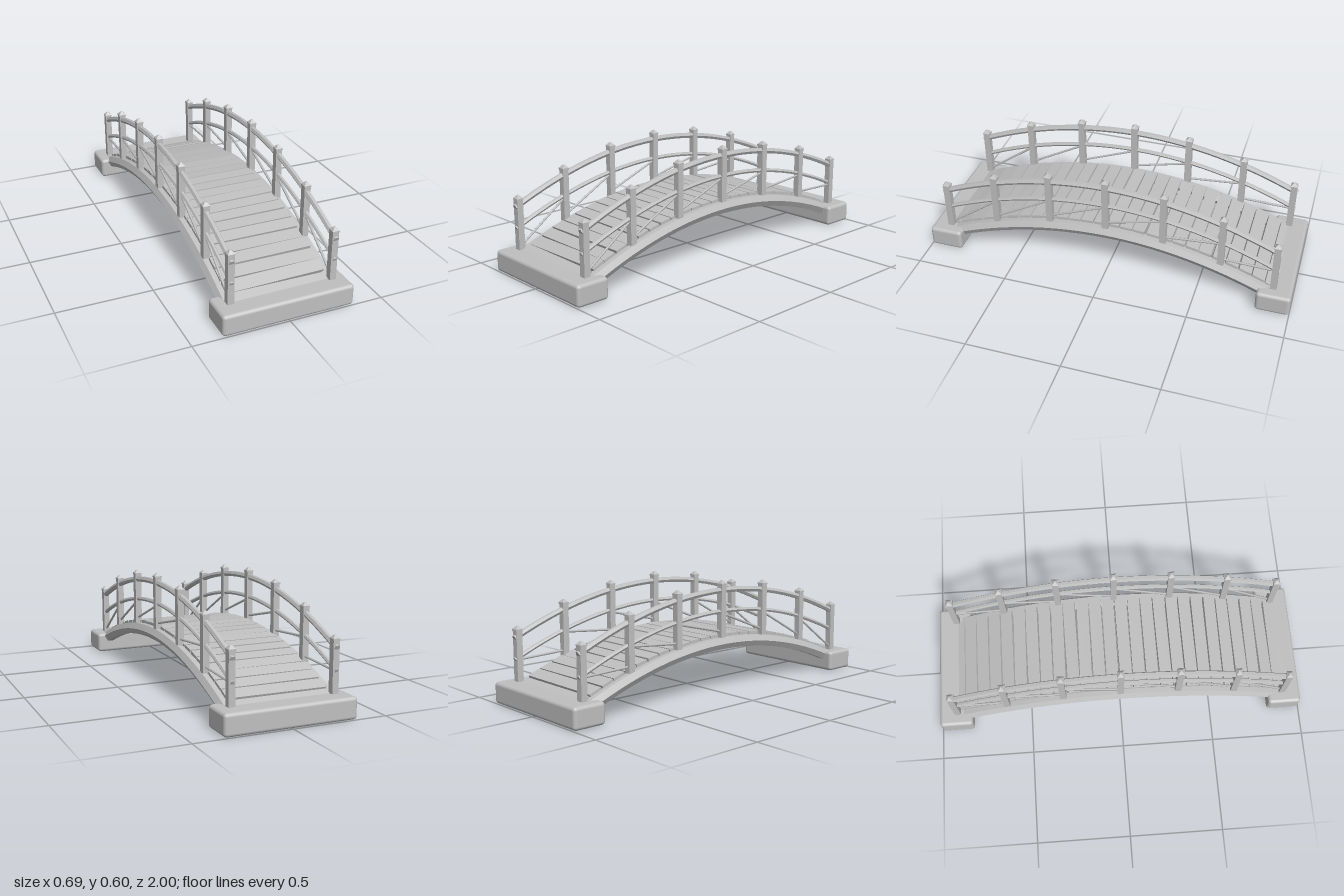
import * as THREE from 'three';
import { RoundedBoxGeometry } from 'three/addons/geometries/RoundedBoxGeometry.js';

const BEND = 0.25; // the whole bridge follows y = top - BEND * z * z
const SIDE = 0.27; // x of beams, posts and rails
const arch = (top, z) => top - BEND * z * z;

// Hexagonal bar swept along the arch
function archedBar(top, end, radius) {
  const hex = new THREE.Shape();
  for (let i = 0; i < 6; i++) {
    const a = (i * Math.PI) / 3;
    hex[i ? 'lineTo' : 'moveTo'](radius * Math.cos(a), radius * Math.sin(a));
  }
  hex.closePath();
  const y = arch(top, end);
  const path = new THREE.QuadraticBezierCurve3(
    new THREE.Vector3(0, y, end),
    new THREE.Vector3(0, top + BEND * end * end, 0),
    new THREE.Vector3(0, y, -end)
  );
  return new THREE.ExtrudeGeometry(hex, { steps: 28, extrudePath: path, bevelEnabled: false });
}

export function createModel() {
  const model = new THREE.Group();
  model.name = 'archedFootbridge';
  const grey = new THREE.MeshStandardMaterial({ color: 0xbfbfbf });
  grey.name = 'plainGrey';

  let seed = 7;
  const jitter = (amount) => {
    seed = (seed * 16807) % 2147483647;
    return (seed / 2147483647 - 0.5) * 2 * amount;
  };
  const add = (parent, name, geometry, x, y, z) => {
    const mesh = new THREE.Mesh(geometry, grey);
    mesh.name = name;
    mesh.position.set(x, y, z);
    parent.add(mesh);
    return mesh;
  };

  // Footing blocks at both ends
  const footing = new RoundedBoxGeometry(0.69, 0.112, 0.18, 3, 0.018);
  for (const s of [1, -1]) add(model, 'footing', footing, 0, 0.056, s * 0.91);

  // Deck planks, laid slightly unevenly
  const deck = new THREE.Group();
  deck.name = 'deck';
  model.add(deck);
  const count = 26;
  const pitch = 1.84 / count;
  for (let i = 0; i < count; i++) {
    const z = (i - (count - 1) / 2) * pitch;
    const tilt = Math.atan(2 * BEND * z);
    const board = new THREE.BoxGeometry(0.522, 0.022, 0.064 / Math.cos(tilt));
    const plank = add(deck, 'plank', board, 0, arch(0.301, z) + jitter(0.002), z);
    plank.rotation.set(tilt + jitter(0.05), jitter(0.012), jitter(0.004));
  }

  // Shared side geometries
  const beam = archedBar(0.267, 0.9, 0.035);
  const topRail = archedBar(0.546, 0.92, 0.016);
  const midRail = archedBar(0.436, 0.92, 0.0115);
  const shaft = new THREE.BoxGeometry(0.034, 0.28, 0.034);
  const capBase = new THREE.BoxGeometry(0.038, 0.008, 0.038);
  const capTop = new THREE.CylinderGeometry(0.006, 0.0268, 0.016, 4, 1).toNonIndexed();
  capTop.rotateY(Math.PI / 4);
  capTop.computeVertexNormals();
  const postZ = [0.9, 0.617, 0.309, 0, -0.309, -0.617, -0.9];

  for (const s of [1, -1]) {
    const side = new THREE.Group();
    side.name = s > 0 ? 'leftSide' : 'rightSide';
    side.position.x = s * SIDE;
    model.add(side);
    add(side, 'archBeam', beam, 0, 0, 0);
    add(side, 'topRail', topRail, 0, 0, 0);
    add(side, 'middleRail', midRail, 0, 0, 0);

    postZ.forEach((z, i) => {
      // Post with a pointed cap
      const base = arch(0.298, z);
      add(side, 'post', shaft, 0, base + 0.14, z);
      add(side, 'capBase', capBase, 0, base + 0.28, z);
      add(side, 'capTop', capTop, 0, base + 0.292, z);

      // Diagonal brace to the next post
      if (i === postZ.length - 1) return;
      const next = postZ[i + 1];
      const from = new THREE.Vector3(0, base + 0.03, z);
      const to = new THREE.Vector3(0, arch(0.298, next) + 0.128, next);
      const rod = new THREE.CylinderGeometry(0.0065, 0.0065, from.distanceTo(to), 6);
      const brace = add(side, 'brace', rod, 0, 0, 0);
      brace.position.lerpVectors(from, to, 0.5);
      brace.quaternion.setFromUnitVectors(
        new THREE.Vector3(0, 1, 0),
        to.clone().sub(from).normalize()
      );
    });
  }
  return model;
}
